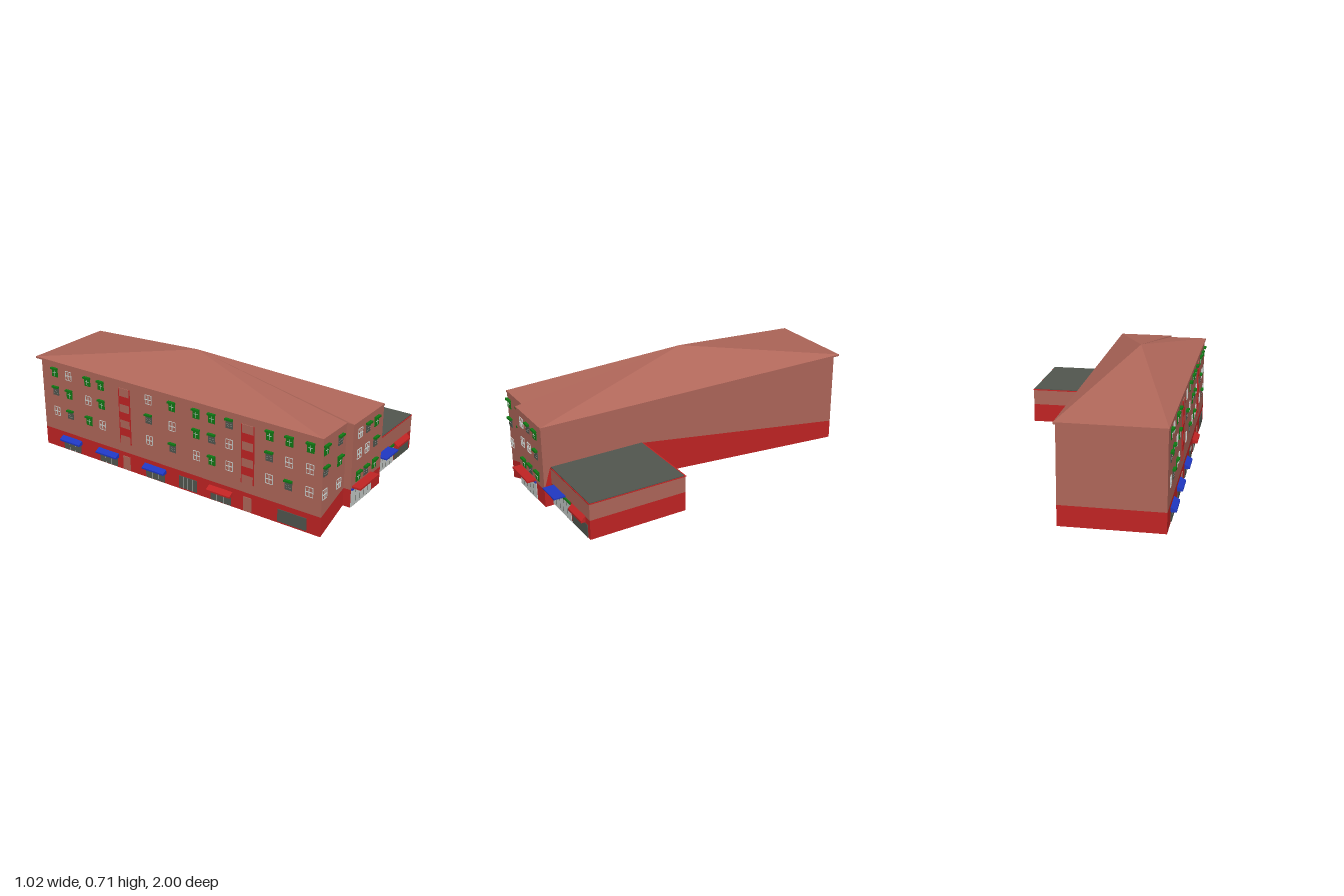
import * as THREE from 'three';

const mat = (name, color, side = THREE.FrontSide) => {
  const m = new THREE.MeshStandardMaterial({ color, side });
  m.name = name;
  return m;
};

export function createModel() {
  const root = new THREE.Group();
  root.name = 'cornerBuilding';
  const brick = mat('brick', 0xb0675a);
  const red = mat('red', 0xc22424);
  const dark = mat('darkGrey', 0x52574f);
  const light = mat('lightGrey', 0xc6cbc8);
  const green = mat('green', 0x107a14);
  const blue = mat('blue', 0x2038c4);
  const unit = new THREE.BoxGeometry(1, 1, 1);

  const group = (name, parent = root) => {
    const g = new THREE.Group();
    g.name = name;
    parent.add(g);
    return g;
  };
  // Box given by its minimum and maximum corners
  const box = (parent, name, m, x0, x1, y0, y1, z0, z1) => {
    const b = new THREE.Mesh(unit, m);
    b.name = name;
    b.position.set((x0 + x1) / 2, (y0 + y1) / 2, (z0 + z1) / 2);
    b.scale.set(x1 - x0, y1 - y0, z1 - z0);
    parent.add(b);
    return b;
  };
  const facets = (name, m, tris) => {
    const g = new THREE.BufferGeometry();
    g.setAttribute('position', new THREE.Float32BufferAttribute(tris.flat(2), 3));
    g.computeVertexNormals();
    const mesh = new THREE.Mesh(g, m);
    mesh.name = name;
    root.add(mesh);
  };
  // Ring of wall quads between two heights at each plan point
  const walls = (plan, lo, hi) => plan.flatMap((p, i) => {
    const q = plan[(i + 1) % plan.length];
    const a = [p[0], lo(p), p[1]], b = [q[0], lo(q), q[1]];
    const c = [q[0], hi(q), q[1]], d = [p[0], hi(p), p[1]];
    return [[a, b, c], [a, c, d]];
  });
  const underside = (plan, y) => plan.slice(1, -1).map((p, i) =>
    [plan[0], plan[i + 2], p].map(v => [v[0], y(v), v[1]]));

  // Main block plan: x, z, bottom height, top of the red plinth
  const plan = [
    [-0.26, 0.91, 0.08, 0.18], [-0.26, 0.95, 0.08, 0.18],
    [0.06, 0.95, 0.08, 0.18], [0.06, 0.91, 0.08, 0.305],
    [0.06, 0.37, 0.10, 0.305], [0.06, -0.96, 0, 0.11],
    [-0.48, -0.96, 0, 0.11], [-0.48, 0.91, 0, 0.11],
  ];
  facets('plinth', red, [...walls(plan, p => p[2], p => p[3]), ...underside(plan, p => p[2])]);
  facets('upperWalls', brick, walls(plan, p => p[3], () => 0.535));

  // Low pyramid roof with a thin overhanging eave
  const eave = [[-0.26, 0.912], [-0.26, 0.953], [0.062, 0.953], [0.062, -1], [-0.487, -1], [-0.487, 0.912]];
  const apex = [-0.21, 0.706, -0.04];
  const slopes = eave.map((p, i) => {
    const q = eave[(i + 1) % eave.length];
    return [[p[0], 0.541, p[1]], [q[0], 0.541, q[1]], apex];
  });
  facets('roof', brick, [...walls(eave, () => 0.531, () => 0.541), ...slopes, ...underside(eave, () => 0.531)]);

  // Side annex
  const annex = group('annex');
  box(annex, 'annexPlinth', red, 0.06, 0.508, 0.102, 0.21, 0.36, 0.908);
  box(annex, 'annexWall', brick, 0.06, 0.508, 0.21, 0.3, 0.36, 0.908);
  box(annex, 'annexRoofEdge', red, 0.06, 0.51, 0.3, 0.304, 0.355, 0.91);
  box(annex, 'annexRoof', dark, 0.062, 0.506, 0.304, 0.308, 0.366, 0.906);

  // Facade groups: local x runs along the wall, local z points outwards
  const front = group('frontLeftFacade');
  front.position.z = 0.91;
  const bay = group('frontBayFacade');
  bay.position.z = 0.95;
  const side = group('rightStreetFacade');
  side.position.x = -0.48;
  side.rotation.y = -Math.PI / 2;

  // Window types: g green, d dark shaded, f plain frame
  const windowAt = (parent, x, y, kind) => {
    const w = group('window', parent);
    w.position.set(x, y, 0);
    const hw = 0.021, hh = 0.026, t = 0.002;
    if (kind !== 'f') {
      box(w, 'pane', kind === 'g' ? green : dark, -hw, hw, -hh, hh, 0, 0.004);
      box(w, 'hood', green, -hw - 0.002, hw + 0.002, hh - 0.006, hh + 0.004, 0, 0.016);
    }
    if (kind === 'd') {
      for (let i = 0; i < 5; i++) for (let j = 0; j < 2; j++) {
        const px = -0.015 + i * 0.0075, py = -0.012 + j * 0.012;
        box(w, 'shadeDot', light, px - 0.001, px + 0.001, py - 0.001, py + 0.001, 0.004, 0.005);
      }
      return;
    }
    if (kind === 'f') {
      for (const s of [-1, 1]) {
        box(w, 'jamb', light, s * hw - t / 2, s * hw + t / 2, -hh, hh, 0, 0.004);
        box(w, 'rail', light, -hw, hw, s * hh - t / 2, s * hh + t / 2, 0, 0.004);
      }
    }
    const b = kind === 'g' ? 0.014 : hw;
    box(w, 'mullion', light, -t / 2, t / 2, -hh + 0.006, hh - 0.006, 0, 0.006);
    box(w, 'transom', light, -b, b, -t / 2, t / 2, 0, 0.006);
  };
  const floors = [0.472, 0.358, 0.232];
  const rows = (parent, columns) => columns.forEach(([x, kinds]) =>
    floors.forEach((y, i) => windowAt(parent, x, y, kinds[i])));
  rows(front, [[-0.455, 'gdf'], [-0.318, 'dgf']]);
  rows(bay, [[-0.19, 'ffg'], [-0.108, 'dfd'], [-0.018, 'gdg']]);
  rows(side, [
    [-0.86, 'gdf'], [-0.755, 'fgd'], [-0.61, 'gfg'], [-0.51, 'ggf'], [-0.17, 'fdf'], [-0.01, 'gfd'],
    [0.15, 'ggf'], [0.25, 'gdg'], [0.36, 'dff'], [0.605, 'gdf'], [0.72, 'gfd'], [0.84, 'gff'],
  ]);

  // Glazed shop front with thin posts
  const shop = (parent, x0, x1, y0, y1, m, posts) => {
    const s = group('shopFront', parent);
    box(s, 'shopGlass', m, x0, x1, y0, y1, 0, 0.004);
    for (let i = 1; i <= posts; i++) {
      const x = x0 + (x1 - x0) * i / (posts + 1);
      box(s, 'shopPost', m === dark ? light : dark, x - 0.0008, x + 0.0008, y0, y1, 0.004, 0.005);
    }
  };
  // Sloping canopy: a wedge extruded along the wall
  const canopy = (parent, m, x0, x1, yTop, drop, depth) => {
    const s = new THREE.Shape([[0, yTop], [0, yTop - drop], [depth, yTop - drop], [depth, yTop - drop * 0.65]]
      .map(p => new THREE.Vector2(...p)));
    const g = new THREE.ExtrudeGeometry(s, { depth: x1 - x0, bevelEnabled: false });
    g.rotateY(-Math.PI / 2).translate(x1, 0, 0);
    const c = new THREE.Mesh(g, m);
    c.name = 'canopy';
    parent.add(c);
  };

  // Bay shop
  shop(bay, -0.255, -0.04, 0.08, 0.175, light, 4);
  box(bay, 'shopSign', blue, -0.255, -0.042, 0.175, 0.185, 0, 0.008);
  box(bay, 'shopCanopy', red, -0.248, -0.048, 0.186, 0.196, 0, 0.05);

  // Annex shops
  const annexFront = group('annexFacade');
  annexFront.position.z = 0.908;
  shop(annexFront, 0.08, 0.295, 0.1, 0.197, light, 4);
  box(annexFront, 'greenSign', green, 0.075, 0.295, 0.197, 0.209, 0, 0.008);
  box(annexFront, 'blueCanopy', blue, 0.09, 0.23, 0.209, 0.217, 0, 0.064);
  shop(annexFront, 0.31, 0.483, 0.102, 0.175, dark, 0);
  canopy(annexFront, red, 0.307, 0.458, 0.212, 0.034, 0.024);

  // Street side shops and their canopies
  for (const [z0, z1, m] of [[-0.83, -0.68, blue], [-0.55, -0.4, blue], [-0.21, -0.06, blue], [0.23, 0.38, red]]) {
    shop(side, z0 + 0.01, z1 - 0.01, 0.004, 0.064, dark, 2);
    canopy(side, m, z0, z1, 0.086, 0.026, 0.03);
  }
  shop(side, 0.03, 0.15, 0.01, 0.08, dark, 3);
  shop(side, 0.66, 0.83, 0.01, 0.08, dark, 0);

  // Stairwell strips: framed brick panels alternating with red ones, door below
  for (const z of [-0.34, 0.475]) {
    const s = group('stairwell', side);
    for (let i = 0; i < 7; i++) {
      const y = 0.165 + i * 0.047;
      box(s, 'stairPanel', i % 2 ? red : brick, z - 0.036, z + 0.036, y, y + 0.047, 0, 0.004);
    }
    for (const e of [-1, 1])
      box(s, 'stairTrim', red, z + e * 0.037 - 0.002, z + e * 0.037 + 0.002, 0.165, 0.494, 0, 0.006);
    box(s, 'door', brick, z - 0.025, z + 0.025, 0.004, 0.085, 0, 0.004);
  }
  return root;
}
